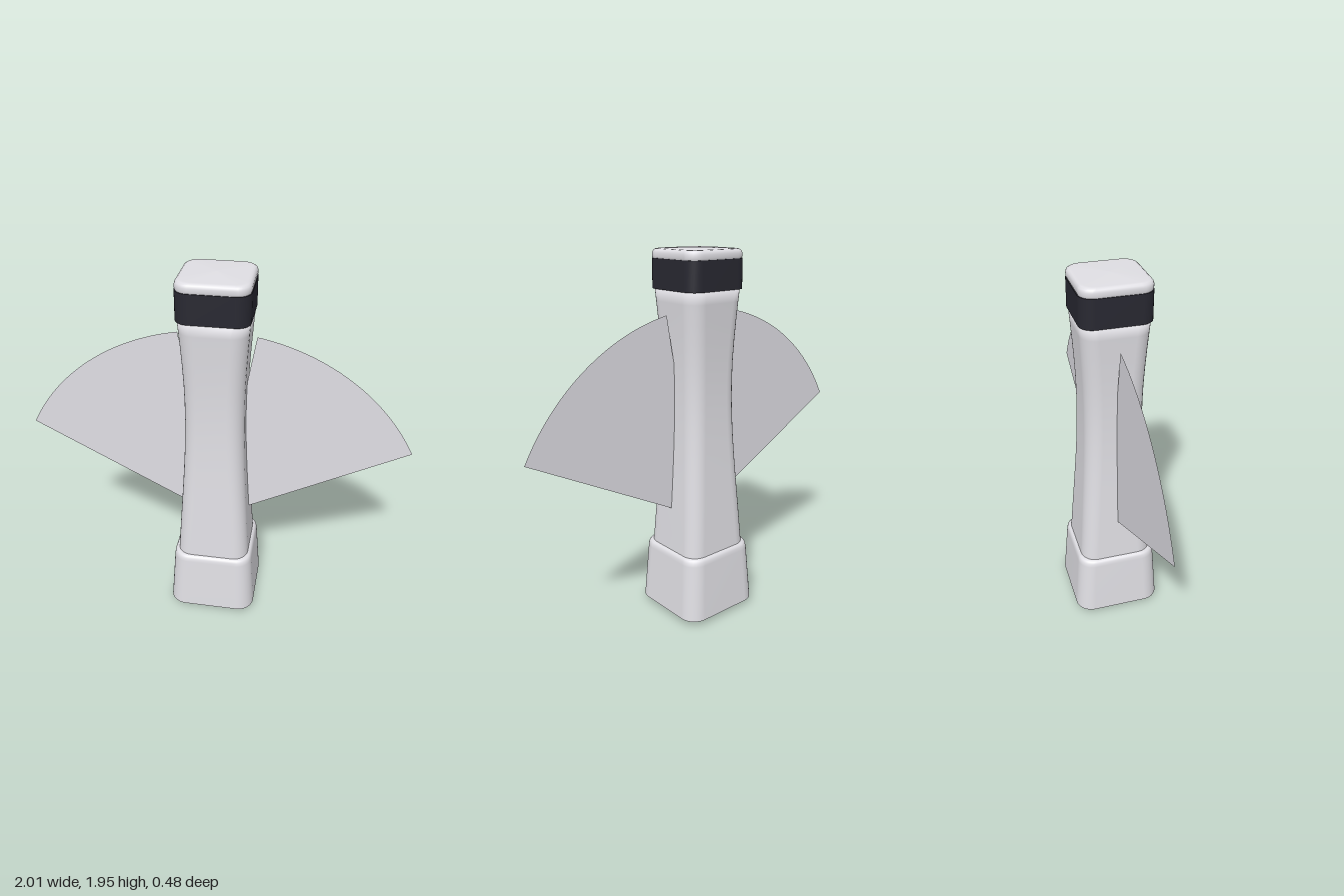
import * as THREE from 'three';

const shell = new THREE.MeshStandardMaterial({ color: 0xdfdee3 });
shell.name = 'pale grey shell';
const dark = new THREE.MeshStandardMaterial({ color: 0x282831 });
dark.name = 'dark band';
const rubber = new THREE.MeshStandardMaterial({ color: 0x232326 });
rubber.name = 'black rubber';
const sheet = new THREE.MeshStandardMaterial({ color: 0xdfdee4, side: THREE.DoubleSide });
sheet.name = 'grey wing sheet';

// Rounded-square rings stacked along y; rows are [half width, y, corner radius]
function loft(rows, steps = 8) {
  const pos = [], index = [], n = 4 * (steps + 1);
  for (const [h, y, radius] of rows) {
    const r = Math.min(radius, h);
    for (let c = 0; c < 4; c++) {
      const mid = Math.PI / 4 + c * Math.PI / 2;
      const cx = Math.sign(Math.cos(mid)) * (h - r), cz = Math.sign(Math.sin(mid)) * (h - r);
      for (let i = 0; i <= steps; i++) {
        const a = (c + i / steps) * Math.PI / 2;
        pos.push(cx + r * Math.cos(a), y, cz + r * Math.sin(a));
      }
    }
  }
  for (let k = 0; k < rows.length - 1; k++) {
    for (let i = 0; i < n; i++) {
      const a = k * n + i, a1 = k * n + (i + 1) % n;
      index.push(a, a + n, a1, a1, a + n, a1 + n);
    }
  }
  const g = new THREE.BufferGeometry();
  g.setAttribute('position', new THREE.Float32BufferAttribute(pos, 3));
  g.setIndex(index);
  g.computeVertexNormals();
  return g;
}

export function createModel() {
  const group = new THREE.Group();
  const add = (name, geometry, material) => {
    const mesh = new THREE.Mesh(geometry, material);
    mesh.name = name;
    group.add(mesh);
    return mesh;
  };

  // Flared base with a softened top lip and flat underside
  add('baseUnderside', loft([[0, 0.03, 0], [0.238, 0.03, 0.09]]), shell);
  add('base', loft([
    [0.238, 0.03, 0.09], [0.237, 0.045, 0.09], [0.217, 0.34, 0.085], [0.214, 0.359, 0.084],
    [0.208, 0.37, 0.082], [0.198, 0.376, 0.08], [0.185, 0.378, 0.075],
  ]), shell);

  // Waisted column with a closed, softly shaded top
  const waist = new THREE.SplineCurve([
    [0.196, 0.36], [0.181, 0.6], [0.168, 0.8], [0.157, 1.0], [0.151, 1.2],
    [0.153, 1.4], [0.163, 1.6], [0.174, 1.76],
  ].map(([x, y]) => new THREE.Vector2(x, y)));
  add('column', loft([...waist.getPoints(14).map(p => [p.x, p.y, 0.08]), [0, 1.76, 0]]), shell);

  // Dark band around the head
  add('headBandUnderside', loft([[0.14, 1.753, 0.06], [0.178, 1.753, 0.068]]), dark);
  add('headBand', loft([[0.178, 1.753, 0.068], [0.178, 1.9, 0.068]]), dark);
  add('headBandTop', loft([[0.178, 1.9, 0.068], [0.14, 1.9, 0.06]]), dark);

  // Softly domed cap
  add('cap', loft([
    [0.174, 1.9, 0.066], [0.177, 1.908, 0.068], [0.177, 1.925, 0.068], [0.173, 1.937, 0.066],
    [0.164, 1.944, 0.062], [0.152, 1.946, 0.058], [0, 1.951, 0],
  ]), shell);

  // Four round feet
  for (const x of [-0.12, 0.12]) {
    for (const z of [-0.12, 0.12]) {
      add('foot', new THREE.SphereGeometry(0.035, 20, 14), rubber).position.set(x, 0.035, z);
    }
  }

  // Flat fan-shaped wings spreading from the column
  const radius = 1.136, low = THREE.MathUtils.degToRad(28), high = THREE.MathUtils.degToRad(80.1);
  for (const [name, start, end] of [
    ['leftWing', low, high], ['rightWing', Math.PI - high, Math.PI - low],
  ]) {
    const fan = new THREE.Shape();
    fan.moveTo(0, 0);
    fan.lineTo(radius * Math.cos(start), radius * Math.sin(start));
    fan.absarc(0, 0, radius, start, end, false);
    fan.lineTo(0, 0);
    add(name, new THREE.ShapeGeometry(fan, 40), sheet).position.y = 0.517;
  }
  return group;
}
